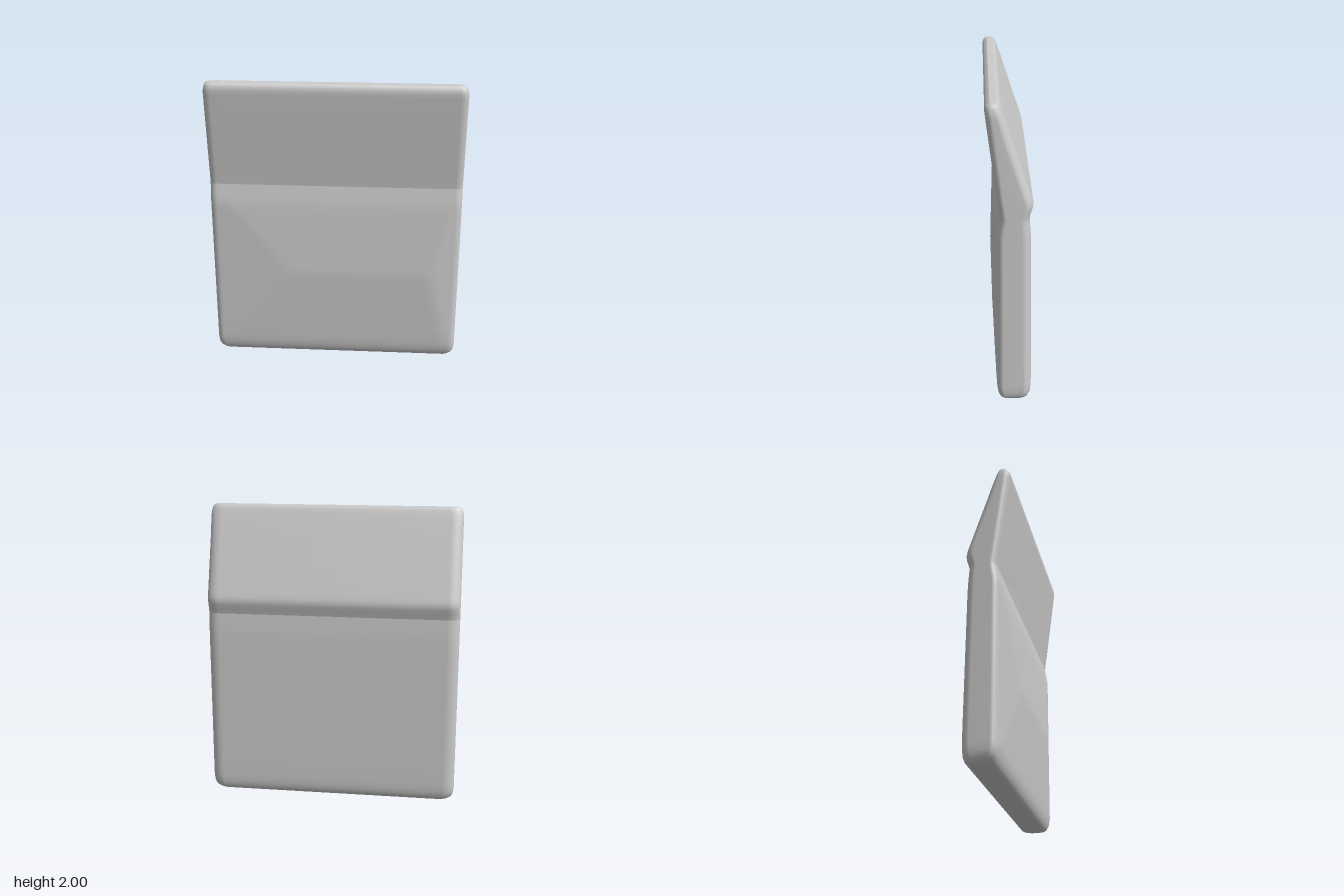
import * as THREE from 'three';

// Side profiles as rows of [y, front z, back z, half width]
const LOWER = [
  [0, 0.035, -0.095, 0.79], [0.008, 0.05, -0.112, 0.815], [0.025, 0.06, -0.126, 0.835],
  [0.05, 0.07, -0.135, 0.845], [0.1, 0.079, -0.14, 0.85], [0.2, 0.085, -0.14, 0.85],
  [0.65, 0.105, -0.135, 0.85], [1.1, 0.084, -0.13, 0.85], [1.17, 0.078, -0.128, 0.85],
  [1.285, 0.06, -0.12, 0.85],
];
const UPPER = [
  [1.285, 0.06, -0.12, 0.85], [1.32, 0.064, -0.129, 0.85], [1.35, 0.068, -0.138, 0.85],
  [1.375, 0.071, -0.142, 0.85], [1.4, 0.075, -0.138, 0.85], [1.43, 0.079, -0.129, 0.85],
  [1.87, 0.135, 0.015, 0.85], [1.92, 0.141, 0.033, 0.85], [1.95, 0.145, 0.043, 0.848],
  [1.975, 0.142, 0.053, 0.842], [1.99, 0.133, 0.06, 0.835], [2, 0.115, 0.072, 0.815],
];

// Insert in-between rows so the cushion's ridges are well resolved
function subdivide(rows, step) {
  const out = [rows[0]];
  for (let i = 1; i < rows.length; i++) {
    const a = rows[i - 1], b = rows[i];
    const n = Math.max(1, Math.ceil((b[0] - a[0]) / step));
    for (let k = 1; k <= n; k++) out.push(a.map((v, c) => v + (b[c] - v) * k / n));
  }
  return out;
}

// Front depth of the padded lower panel: the two ends slope down to the sides
function padded(x, front) {
  const leftSlope = 0.078 + 0.027 * (x + 0.8) / 0.5;
  const rightSlope = 0.078 + 0.027 * (0.8 - x) / 0.15;
  return Math.min(front, leftSlope, rightSlope);
}
const plain = (x, front) => front;

// One closed horizontal section with rounded corners
function section([y, front, back, w], depthAt) {
  const pts = [], cols = 40, seg = 7;
  const depth = front - back;
  const rf = Math.min(0.04, depth * 0.4), rb = Math.min(0.055, depth * 0.4);
  const xf = w - 0.05, xb = w - 0.08;
  const corner = (side, cx, rx, cz, rz, a0, a1) => {
    for (let k = 1; k <= seg; k++) {
      const a = a0 + (a1 - a0) * k / seg;
      pts.push([side * (cx + rx * Math.cos(a)), y, cz + rz * Math.sin(a)]);
    }
  };
  const q = Math.PI / 2;
  for (let k = 0; k <= cols; k++) {
    const x = -xf + 2 * xf * k / cols;
    pts.push([x, y, depthAt(x, front)]);
  }
  corner(1, xf, 0.05, depthAt(xf, front) - rf, rf, q, 0);
  pts.push([w, y, back + rb]);
  corner(1, xb, 0.08, back + rb, rb, 0, -q);
  for (let k = 1; k <= 8; k++) pts.push([xb - 2 * xb * k / 8, y, back]);
  corner(-1, xb, 0.08, back + rb, rb, -q, 0);
  pts.push([-w, y, depthAt(-xf, front) - rf]);
  // last point of this corner would repeat the first point of the ring
  corner(-1, xf, 0.05, depthAt(-xf, front) - rf, rf, 0, q);
  pts.pop();
  return pts;
}

// Skin the sections and close the outer end
function loft(rows, depthAt, capTop) {
  const rings = rows.map((r) => section(r, depthAt));
  const n = rings[0].length, pos = rings.flat(2), index = [];
  for (let j = 0; j < rings.length - 1; j++) {
    for (let i = 0; i < n; i++) {
      const a = j * n + i, b = j * n + (i + 1) % n;
      index.push(a, b, b + n, a, b + n, a + n);
    }
  }
  const end = rings[capTop ? rings.length - 1 : 0];
  const base = pos.length / 3, row = rows[capTop ? rows.length - 1 : 0];
  pos.push(...end.flat(), 0, row[0], (row[1] + row[2]) / 2);
  for (let i = 0; i < n; i++) {
    const a = base + i, b = base + (i + 1) % n;
    index.push(base + n, capTop ? a : b, capTop ? b : a);
  }
  const geo = new THREE.BufferGeometry();
  geo.setAttribute('position', new THREE.Float32BufferAttribute(pos, 3));
  geo.setIndex(index);
  geo.computeVertexNormals();
  return geo;
}

export function createModel() {
  const group = new THREE.Group();
  group.name = 'backrestCushion';
  const material = new THREE.MeshStandardMaterial({ color: 0xcccccc });

  // Padded main panel
  const lower = new THREE.Mesh(loft(subdivide(LOWER, 0.04), padded, false), material);
  lower.name = 'lowerPanel';

  // Forward-leaning top, meeting the main panel at a crisp fold
  const upper = new THREE.Mesh(loft(subdivide(UPPER, 0.1), plain, true), material);
  upper.name = 'upperPanel';

  group.add(lower, upper);
  return group;
}
